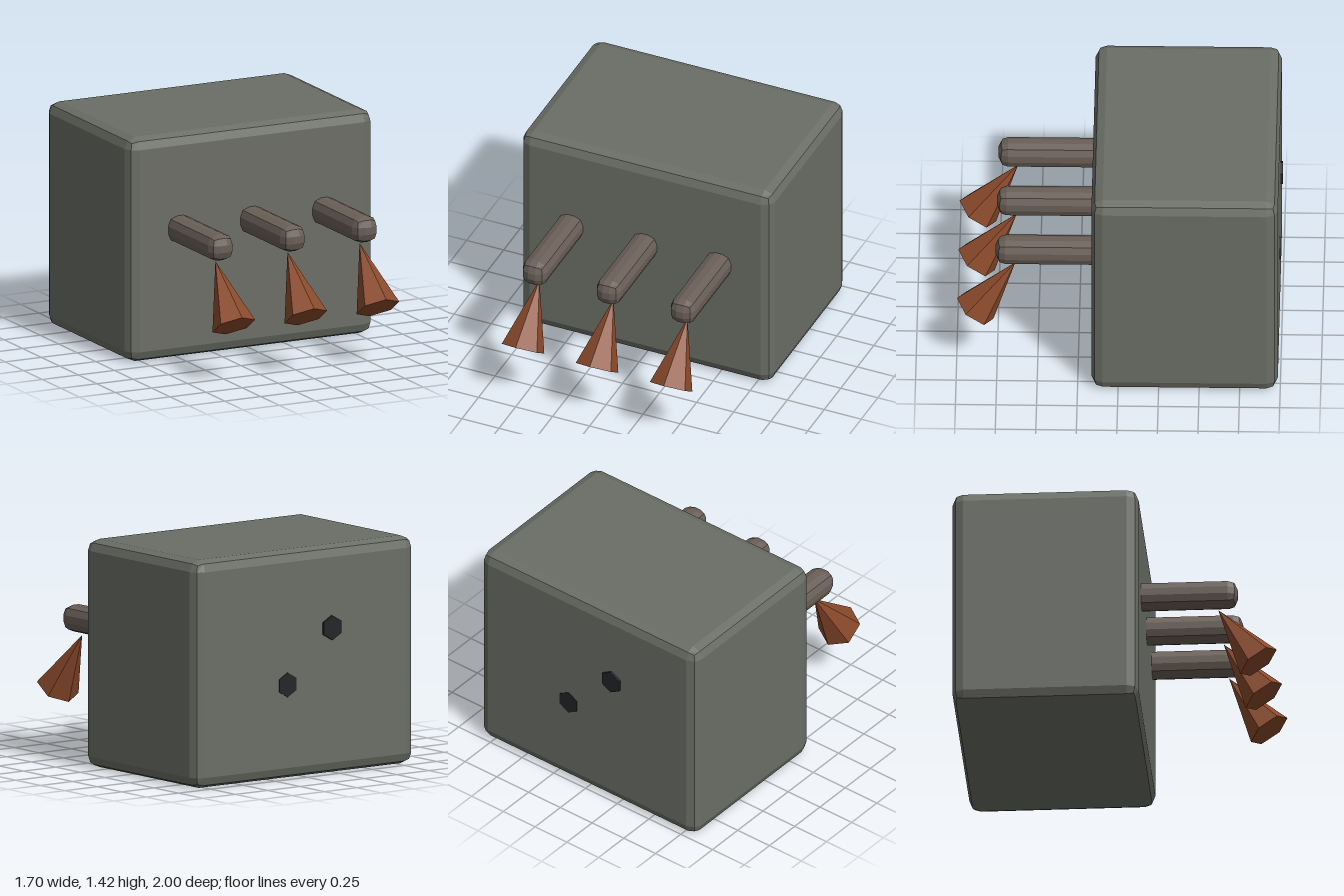
import * as THREE from 'three';
import { RoundedBoxGeometry } from 'three/addons/geometries/RoundedBoxGeometry.js';

const material = (color) => new THREE.MeshStandardMaterial({ color, flatShading: true });

export function createModel() {
  const model = new THREE.Group();
  model.name = 'spikedBlock';

  const stone = material(0x6b6e66);
  const wood = material(0x6b6058);
  const rust = material(0x8b4a2b);
  const iron = material(0x232528);

  function add(name, geometry, mat, x, y, z, tilt = 0) {
    const mesh = new THREE.Mesh(geometry, mat);
    mesh.name = name;
    mesh.position.set(x, y, z);
    mesh.rotation.x = tilt;
    model.add(mesh);
  }

  // Main block with two-step bevelled edges
  add('body', new RoundedBoxGeometry(1.7, 1.425, 1.15, 1, 0.07), stone, 0, 0.7125, -0.41);

  // Row of front pegs, each with a tilted six-sided spike below its tip
  const peg = new RoundedBoxGeometry(0.165, 0.165, 0.7, 1, 0.06);
  const spike = new THREE.ConeGeometry(0.137, 0.435, 6);
  for (const [side, x] of [['right', -0.5], ['middle', 0], ['left', 0.5]]) {
    add(`${side}Peg`, peg, wood, x, 0.826, 0.41);
    add(`${side}Spike`, spike, rust, x, 0.546, 0.763, -0.606);
  }

  // Hexagonal bolt heads barely standing out of the back
  const bolt = new THREE.CylinderGeometry(0.077, 0.077, 0.06, 6);
  add('upperBolt', bolt, iron, -0.195, 0.915, -0.97, Math.PI / 2);
  add('lowerBolt', bolt, iron, 0.145, 0.59, -0.96, Math.PI / 2);

  return model;
}
